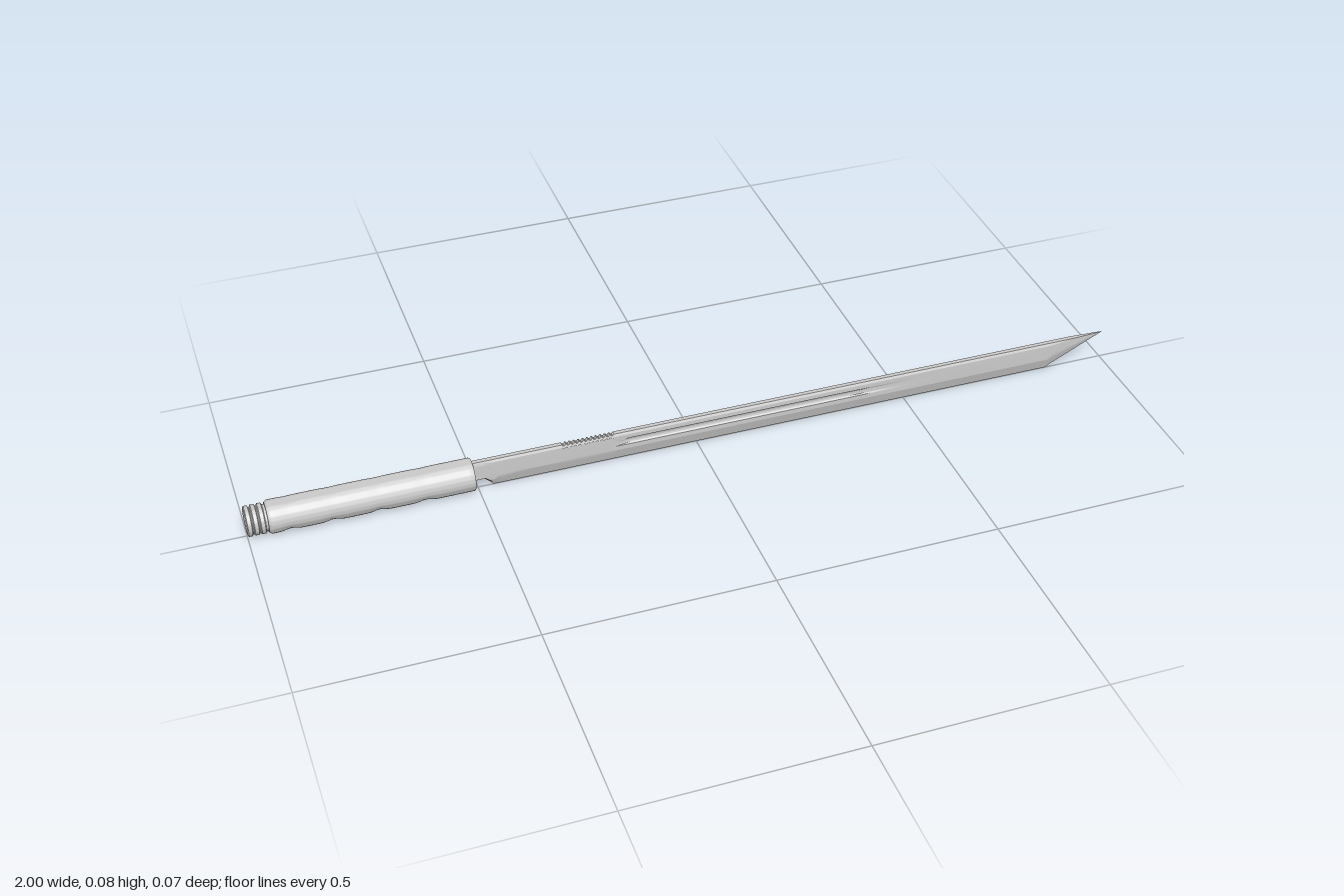
import * as THREE from 'three';
import { toCreasedNormals } from 'three/addons/utils/BufferGeometryUtils.js';

const AXIS_Y = 0.0385;
const material = new THREE.MeshStandardMaterial({ color: 0xcccccc, side: THREE.DoubleSide });
const smooth = THREE.MathUtils.smoothstep;

function addMesh(group, name, geometry, crease = 0.5) {
  const mesh = new THREE.Mesh(toCreasedNormals(geometry, crease), material);
  mesh.name = name;
  group.add(mesh);
}

// Turned part lying along x; profile is a list of [x, radius].
function turned(profile) {
  const geometry = new THREE.LatheGeometry(profile.map(([x, r]) => new THREE.Vector2(r, x)), 48);
  return geometry.rotateZ(-Math.PI / 2).translate(0, AXIS_Y, 0);
}

// Grip: a long cylinder with shallow rings that deepen into finger grooves below.
function gripGeometry() {
  const start = -0.955, end = -0.51, r = 0.0365;
  const profile = [[start, 0], [start, r - 0.004], [start + 0.006, r]];
  for (let i = 1; i < 100; i++) profile.push([start + 0.006 + (end - start - 0.009) * i / 100, r]);
  profile.push([end - 0.003, r], [end, r - 0.002], [end, 0]);
  const geometry = turned(profile);
  const p = geometry.attributes.position;
  for (let i = 0; i < p.count; i++) {
    const x = p.getX(i), y = p.getY(i) - AXIS_Y, z = p.getZ(i);
    const radius = Math.hypot(y, z);
    if (radius < 0.02) continue;
    const below = Math.max(0, -y / radius);
    let dent = 0;
    for (const groove of [-0.62, -0.72, -0.82, -0.91]) {
      dent += Math.exp(-(((x - groove) / 0.014) ** 2)) * (0.0007 + 0.0045 * below ** 1.5);
    }
    const k = 1 - dent / radius;
    p.setXYZ(i, x, AXIS_Y + y * k, z * k);
  }
  return geometry;
}

// Pommel: three rounded ribs behind a narrow neck.
function pommelGeometry() {
  const profile = [[-1, 0], [-1, 0.029]];
  for (let i = 0; i < 3; i++) {
    const x = -1 + i * 0.014;
    profile.push([x + 0.002, 0.033], [x + 0.010, 0.033], [x + 0.012, 0.029], [x + 0.014, 0.029]);
  }
  profile.push([-0.95, 0.028], [-0.95, 0]);
  return turned(profile);
}

// Blade: lofted cross-sections with edge bevel, fuller, spine teeth and slanted point.
function bladeGeometry() {
  const TOP = 0.07, HALF = 0.008;
  const heights = [0, 0.12, 0.25, 0.38, 0.46, 0.54, 0.58, 0.63, 0.68, 0.73, 0.77, 0.84, 0.92, 1];
  const stations = [-0.53, -0.5, -0.49, -0.483, -0.475, -0.465, -0.45, -0.4, -0.35];
  const teeth = 12, teethStart = -0.31, pitch = 0.01;
  for (let i = 0; i < teeth; i++) {
    for (const f of [0, 0.35, 0.5, 0.85]) stations.push(teethStart + (i + f) * pitch);
  }
  for (let i = 0; i <= 30; i++) stations.push(-0.19 + 1.04 * i / 30);
  for (let i = 0; i <= 14; i++) stations.push(0.86 + 0.14 * i / 14);

  const topAt = (x) => {
    const t = (x - teethStart) / pitch;
    const f = t - Math.floor(t + 1e-6);
    return t > 0 && t < teeth && f > 0.2 && f < 0.6 ? TOP - 0.004 : TOP;
  };
  const bottomAt = (x) => {
    if (x > 0.86) return 0.002 + (TOP - 0.002) * (x - 0.86) / 0.14;
    return 0.019 * (1 - smooth(x, -0.485, -0.463)); // choil beside the grip
  };
  const halfAt = (x, y, bottom, top, v) => {
    const bevel = THREE.MathUtils.lerp(0.003, 0.027, smooth(x, -0.49, -0.44));
    let z = HALF * Math.min(1, (y - bottom) / bevel);
    z = Math.min(z, 0.005 + Math.max(0, top - y) * 0.5); // chamfered spine
    if (x > 0.86) z = Math.min(z, HALF * (1 - (x - 0.86) / 0.14) + 0.0005) * (v === 0 ? 0 : 1);
    const run = smooth(x, -0.2, -0.16) * (1 - smooth(x, 0.3, 0.56));
    const across = Math.max(0, 1 - ((v - 0.655) / 0.115) ** 2);
    return z - 0.0045 * run * Math.min(1, across * 1.3) * z / HALF;
  };

  const positions = [], indices = [], n = heights.length, ring = n * 2;
  for (const x of stations) {
    const bottom = bottomAt(x), top = topAt(x);
    const side = heights.map((v) => {
      const y = THREE.MathUtils.lerp(bottom, top, v);
      return [y, halfAt(x, y, bottom, top, v)];
    });
    for (const [y, z] of side) positions.push(x, y, z);
    for (const [y, z] of [...side].reverse()) positions.push(x, y, -z);
  }
  for (let s = 0; s < stations.length - 1; s++) {
    for (let j = 0; j < ring; j++) {
      const a = s * ring + j, b = s * ring + (j + 1) % ring;
      indices.push(a, a + ring, b + ring, a, b + ring, b);
    }
  }
  const geometry = new THREE.BufferGeometry();
  geometry.setAttribute('position', new THREE.Float32BufferAttribute(positions, 3));
  geometry.setIndex(indices);
  return geometry;
}

export function createModel() {
  const group = new THREE.Group();
  group.name = 'sword';
  addMesh(group, 'pommel', pommelGeometry());
  addMesh(group, 'grip', gripGeometry(), 0.6);
  addMesh(group, 'blade', bladeGeometry(), 0.25);
  return group;
}
